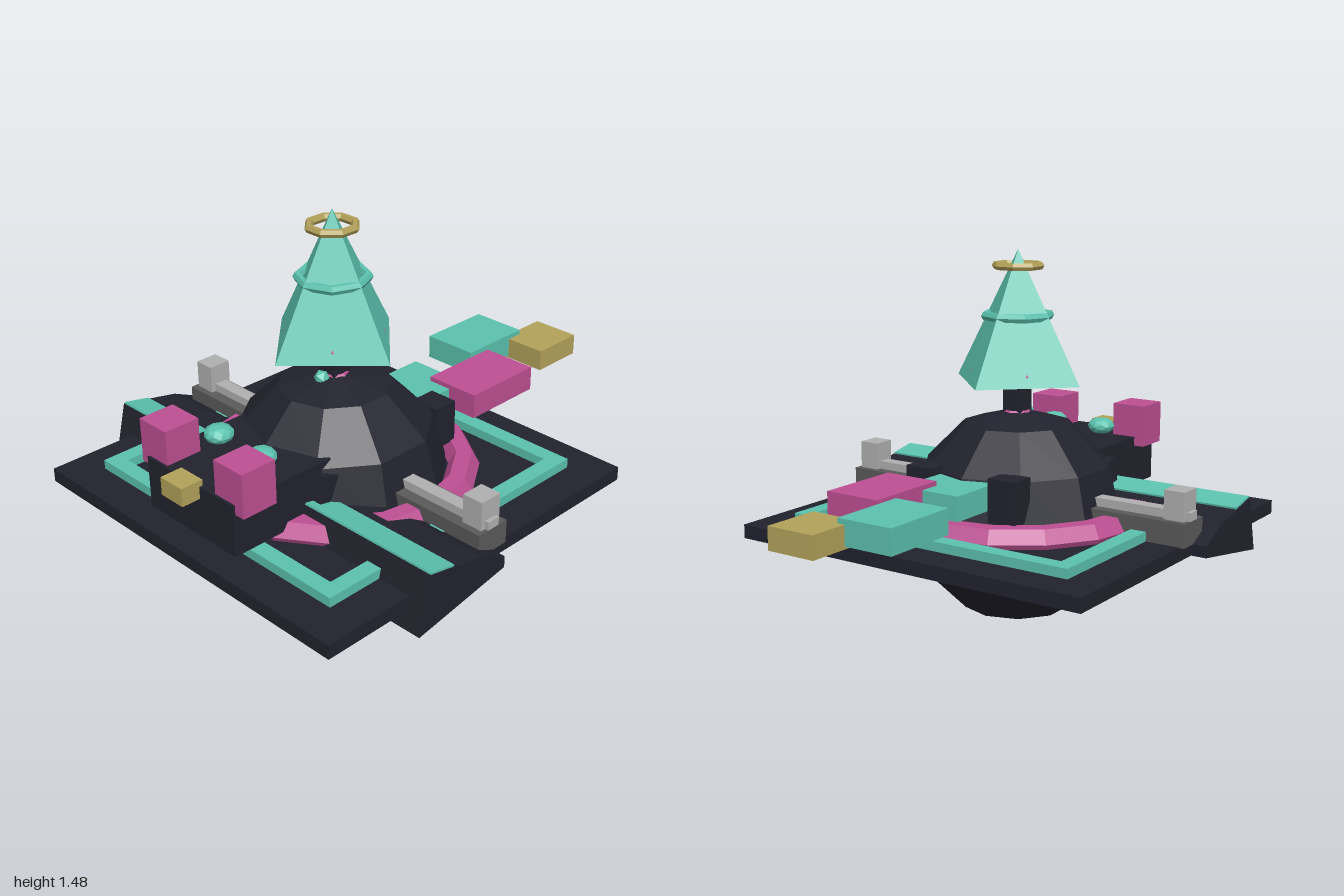
import * as THREE from 'three';

const mat = (name, color, extra = {}) => {
  const m = new THREE.MeshStandardMaterial({ color, flatShading: true, ...extra });
  m.name = name;
  return m;
};

export function createModel() {
  const dark = mat('darkNavy', 0x22222e);
  const teal = mat('teal', 0x5bc2ae);
  const pink = mat('pink', 0xbd4f93);
  const gold = mat('gold', 0xb3a25a);
  const lightGray = mat('lightGray', 0xb0b0b0);
  const midGray = mat('midGray', 0x5a5a5a);

  const model = new THREE.Group();
  model.name = 'domeCraft';
  const CZ = 0.235; // centre line of dome and plate

  const add = (name, geo, material, x = 0, y = 0, z = 0) => {
    const m = new THREE.Mesh(geo, material);
    m.name = name;
    m.position.set(x, y, z);
    model.add(m);
    return m;
  };
  // box given by its extents on each axis
  const box = (name, material, x0, x1, y0, y1, z0, z1) =>
    add(name, new THREE.BoxGeometry(x1 - x0, y1 - y0, z1 - z0), material,
      (x0 + x1) / 2, (y0 + y1) / 2, (z0 + z1) / 2);
  // flat-lying ring
  const ring = (name, material, r, tube, sides, segs, y, turn = 0) => {
    const g = new THREE.TorusGeometry(r, tube, sides, segs);
    g.rotateX(Math.PI / 2).rotateY(turn);
    return add(name, g, material, 0, y, CZ);
  };

  // base plate and the raised square frame on it
  box('basePlate', dark, -0.76, 0.76, 0.38, 0.435, -0.525, 0.995);
  const frame = new THREE.Shape();
  const square = (path, s) => path.moveTo(-s, -s).lineTo(s, -s).lineTo(s, s).lineTo(-s, s).closePath();
  square(frame, 0.622);
  const hole = new THREE.Path();
  square(hole, 0.558);
  frame.holes.push(hole);
  const frameGeo = new THREE.ExtrudeGeometry(frame, { depth: 0.04, bevelEnabled: false });
  frameGeo.rotateX(-Math.PI / 2);
  add('squareFrame', frameGeo, teal, 0, 0.432, CZ);

  // faceted body and the ring around it
  const body = new THREE.SphereGeometry(0.43, 10, 6);
  body.rotateY(Math.PI / 10);
  add('domeBody', body, dark, 0, 0.432, CZ);
  ring('bodyRing', pink, 0.485, 0.06, 6, 16, 0.455);

  // cross wing: wedge profile drawn in (z, y), extruded along x
  const profile = [[0.66, 0.32], [0.605, 0.54], [0.235, 0.435], [0.235, 0.39]];
  profile.splice(2, 0, [0.355, 0.49]);
  const wing = new THREE.ExtrudeGeometry(
    new THREE.Shape(profile.map(([z, y]) => new THREE.Vector2(-z, y))),
    { depth: 1.67, bevelEnabled: false });
  wing.rotateY(Math.PI / 2);
  add('wing', wing, dark, -0.835, 0, 0);
  const strip = box('wingStripe', teal, -0.83, 0.83, 0.528, 0.536, 0.49, 0.605);
  strip.rotation.x = -Math.atan2(0.05, 0.25);

  // head with ears, eyes and nose
  box('head', dark, -0.232, 0.232, 0.475, 0.677, 0.48, 0.925);
  box('nose', gold, -0.057, 0.057, 0.63, 0.7, 0.91, 1.0);

  for (const s of [-1, 1]) {
    const pair = (name, m, x0, x1, ...rest) =>
      box(name, m, Math.min(s * x0, s * x1), Math.max(s * x0, s * x1), ...rest);
    pair('ear', pink, 0.13, 0.275, 0.64, 0.81, 0.77, 0.915);
    const eye = add('eye', new THREE.IcosahedronGeometry(0.056, 1), teal, s * 0.115, 0.725, 0.695);
    eye.scale.y = 0.62;
    // leaning blocks at the front and back of the dome
    const front = pair('frontBrace', dark, 0.17, 0.27, 0.49, 0.63, 0.47, 0.56);
    front.rotation.x = -0.25;
    pair('backBrace', dark, 0.13, 0.25, 0.5, 0.67, -0.155, -0.05);
    // side arms
    pair('armBase', midGray, 0.38, 0.78, 0.433, 0.525, 0.165, 0.308);
    pair('armRail', lightGray, 0.37, 0.78, 0.525, 0.558, 0.208, 0.262);
    pair('armPost', lightGray, 0.68, 0.765, 0.525, 0.637, 0.188, 0.282);
  }

  // staggered tail blocks
  box('tailRoot', teal, -0.13, 0.13, 0.545, 0.64, -0.34, -0.02);
  box('tailSecond', pink, 0.03, 0.26, 0.56, 0.658, -0.6, -0.255);
  box('tailThird', teal, -0.23, 0, 0.56, 0.656, -0.843, -0.53);
  box('tailTip', gold, -0.03, 0.17, 0.55, 0.636, -1.0, -0.775);

  // mast, its base trim and the four-sided spire
  add('mast', new THREE.BoxGeometry(0.08, 0.15, 0.08), dark, 0, 0.88, CZ);
  ring('mastTrim', pink, 0.045, 0.014, 5, 8, 0.842);
  add('domeGem', new THREE.IcosahedronGeometry(0.03, 0), teal, 0, 0.845, 0.3);
  add('spire', new THREE.ConeGeometry(0.285, 0.51, 4), teal, 0, 1.225, CZ);
  ring('spireLowerRing', pink, 0.17, 0.018, 6, 8, 1.01);
  ring('spireBand', teal, 0.127, 0.018, 6, 8, 1.225);
  ring('halo', gold, 0.087, 0.016, 6, 8, 1.417, Math.PI / 8);

  return model;
}
